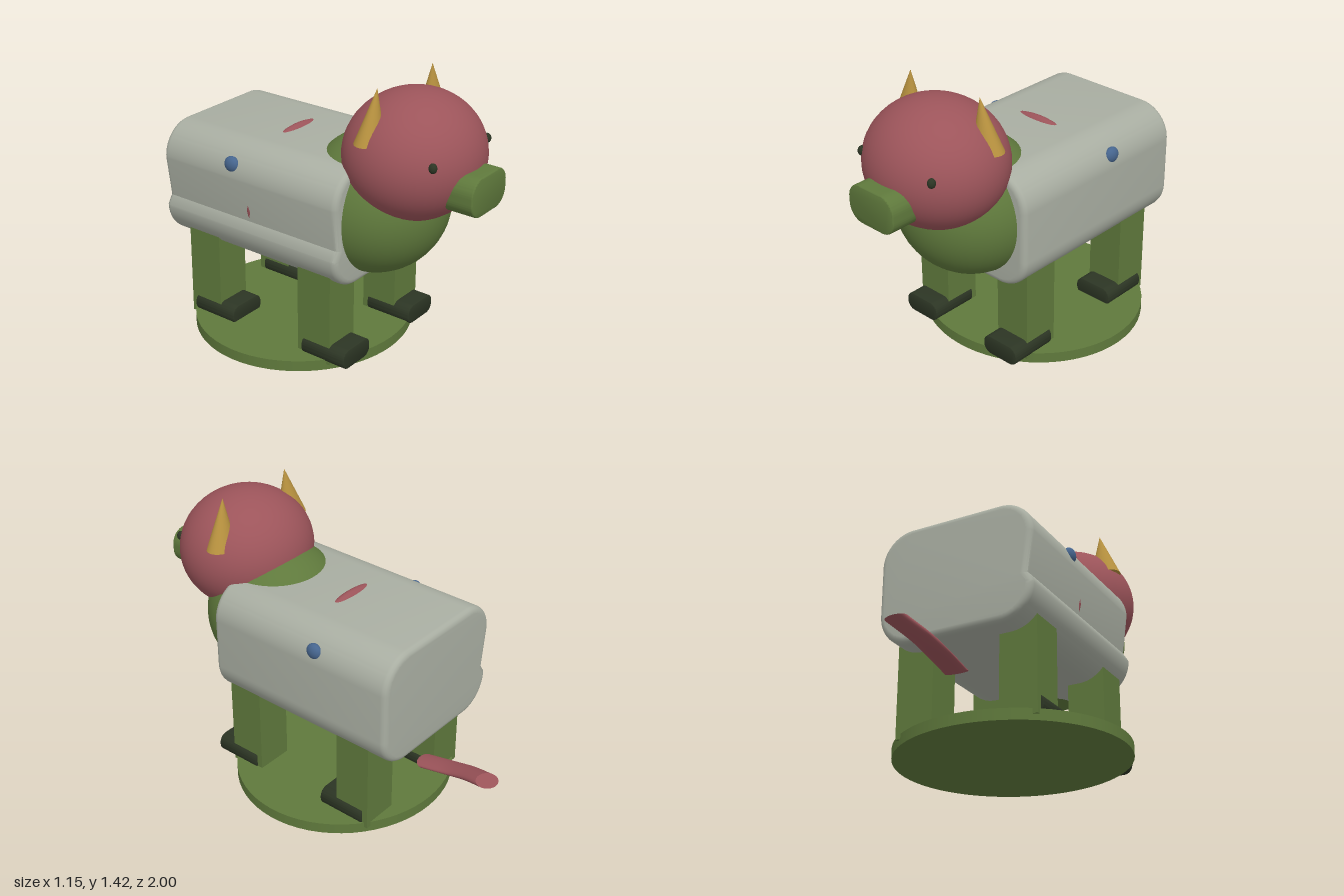
import * as THREE from 'three';
import { toCreasedNormals } from 'three/addons/utils/BufferGeometryUtils.js';

const mat = (name, color) => {
  const m = new THREE.MeshStandardMaterial({ color });
  m.name = name;
  return m;
};

// Rounded rectangle; an optional notch cuts a crease into the -x edge
function roundedRect(w, h, r, notch = false) {
  const x = w / 2, y = h / 2, s = new THREE.Shape();
  s.moveTo(-x + r, -y);
  s.lineTo(x - r, -y);
  s.absarc(x - r, -y + r, r, -Math.PI / 2, 0);
  s.lineTo(x, y - r);
  s.absarc(x - r, y - r, r, 0, Math.PI / 2);
  s.lineTo(-x + r, y);
  s.absarc(-x + r, y - r, r, Math.PI / 2, Math.PI);
  if (notch) {
    s.lineTo(-x + 0.028, -0.08);
    s.lineTo(-x, -0.125);
  }
  s.absarc(-x + r, -y + r, r, Math.PI, Math.PI * 1.5);
  return s;
}

// Extrusion along z, centred, with a small rounded rim
function slab(shape, depth, bevel) {
  const g = new THREE.ExtrudeGeometry(shape, {
    depth: depth - 2 * bevel, bevelThickness: bevel, bevelSize: bevel,
    bevelOffset: -bevel, bevelSegments: 4, curveSegments: 12,
  });
  g.translate(0, 0, bevel - depth / 2);
  return toCreasedNormals(g, 0.6);
}

export function createModel() {
  const group = new THREE.Group();
  const green = mat('green', 0x5f793c);
  const red = mat('dusty red', 0x9c545a);
  const grey = mat('pale grey', 0xa9aea2);
  const gold = mat('gold', 0xb8923f);
  const dark = mat('dark green', 0x2c3524);
  const blue = mat('blue', 0x46658e);

  const add = (name, geo, material, x, y, z) => {
    const m = new THREE.Mesh(geo, material);
    m.name = name;
    m.position.set(x, y, z);
    group.add(m);
    return m;
  };
  const ball = (name, material, c, r) =>
    add(name, new THREE.SphereGeometry(1, 48, 32), material, ...c).scale.set(...r);

  // Stand
  const disc = new THREE.CylinderGeometry(1, 1, 0.055, 64);
  add('base', disc, green, 0, 0.0275, -0.045).scale.set(0.575, 1, 0.547);

  // Body, chest and the inner belly that just breaks the surface
  add('body', slab(roundedRect(0.81, 0.595, 0.17, true), 1.065, 0.03), grey, 0, 0.7375, -0.0775);
  ball('chest', green, [0, 0.78, 0.4], [0.365, 0.35, 0.35]);
  ball('belly', red, [0, 0.743, -0.08], [0.389, 0.306, 0.09]);

  // Head and snout
  ball('head', red, [0, 1.067, 0.6], [0.35, 0.308, 0.33]);
  add('snout', slab(roundedRect(0.29, 0.19, 0.08), 0.25, 0.008), green, 0, 0.975, 0.875);

  for (const side of [-1, 1]) {
    const label = side > 0 ? 'left' : 'right';
    ball(label + 'Eye', dark, [side * 0.226, 1.127, 0.842], [0.019, 0.024, 0.02]);
    ball(label + 'SideSpot', blue, [side * 0.383, 0.932, -0.177], [0.028, 0.04, 0.042]);

    // Ear: an oval cone whose tip leans inward
    const ear = new THREE.ConeGeometry(1, 1, 32, 1);
    ear.scale(0.082, 0.247, 0.065);
    const shear = new THREE.Matrix4().makeShear(0, 0, -side * 0.14, 0.05, 0, 0);
    shear.set(1, -side * 0.14, 0, 0, 0, 1, 0, 0, 0, 0.05, 1, 0, 0, 0, 0, 1);
    ear.applyMatrix4(shear);
    add(label + 'Ear', ear, gold, side * 0.237, 1.3015, 0.531);

    // Legs and feet
    for (const [end, z] of [['Front', 0.3], ['Back', -0.39]]) {
      add(label + end + 'Leg', new THREE.BoxGeometry(0.192, 0.495, 0.192), green,
        side * 0.27, 0.2775, z);
      add(label + end + 'Foot', slab(roundedRect(0.214, 0.1, 0.045), 0.255, 0.006), dark,
        side * 0.273, 0.085, z + 0.062);
    }
  }

  // Tail: a tube flattened in height, with closed ends
  const flat = 0.25, radius = 0.057;
  const path = new THREE.CatmullRomCurve3([
    [0, 0.261, -0.56], [0, 0.295, -0.72], [0.016, 0.328, -0.82], [0.065, 0.38, -0.955],
  ].map(([x, y, z]) => new THREE.Vector3(x, y / flat, z)));
  const tail = new THREE.Group();
  tail.name = 'tail';
  tail.scale.y = flat;
  tail.add(new THREE.Mesh(new THREE.TubeGeometry(path, 24, radius, 24), red));
  for (const t of [0, 1]) {
    const cap = new THREE.Mesh(new THREE.CircleGeometry(radius, 24), red);
    const out = path.getTangent(t).multiplyScalar(t ? 1 : -1);
    cap.geometry.applyQuaternion(
      new THREE.Quaternion().setFromUnitVectors(new THREE.Vector3(0, 0, 1), out));
    cap.position.copy(path.getPoint(t));
    tail.add(cap);
  }
  tail.children.forEach((m, i) => { m.name = i ? 'tailEnd' : 'tailTube'; });
  group.add(tail);

  return group;
}
